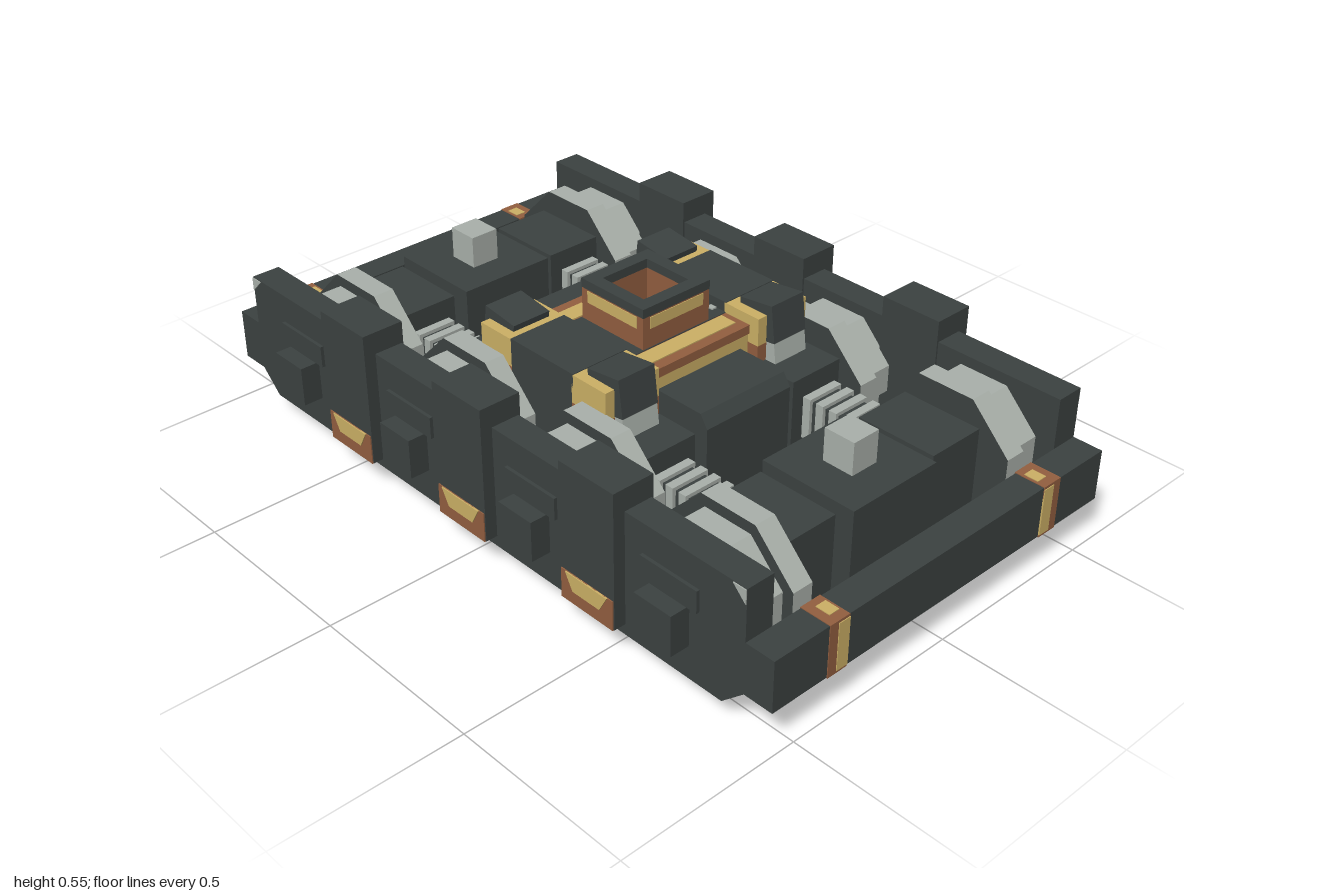
import * as THREE from 'three';

const mat = (name, color) => {
  const m = new THREE.MeshStandardMaterial({ color });
  m.name = name;
  return m;
};

export function createModel() {
  const root = new THREE.Group();
  root.name = 'railBogie';
  const dark = mat('darkIron', 0x3c4241);
  const steel = mat('paleSteel', 0xaab1ab);
  const gold = mat('brassGold', 0xcdb166);
  const brown = mat('copperBrown', 0x935f40);

  const add = (name, geo, material, parent = root) => {
    const m = new THREE.Mesh(geo, material);
    m.name = name;
    parent.add(m);
    return m;
  };
  // Box given by its min and max on each axis
  const box = (name, material, x0, x1, y0, y1, z0, z1, parent = root) => {
    const m = add(name, new THREE.BoxGeometry(Math.abs(x1 - x0), y1 - y0, Math.abs(z1 - z0)), material, parent);
    m.position.set((x0 + x1) / 2, (y0 + y1) / 2, (z0 + z1) / 2);
    return m;
  };
  // Outline in (z, y) extruded along x
  const plate = (name, material, pts, x0, x1) => {
    const shape = new THREE.Shape(pts.map(([z, y]) => new THREE.Vector2(-z, y)));
    const g = new THREE.ExtrudeGeometry(shape, { depth: x1 - x0, bevelEnabled: false });
    g.rotateY(Math.PI / 2);
    g.translate(x0, 0, 0);
    return add(name, g, material);
  };
  // Eight-sided drum lying along x, flat side up
  const drum = (name, materials, apothem, x0, x1, z) => {
    const g = new THREE.CylinderGeometry(apothem / Math.cos(Math.PI / 8), apothem / Math.cos(Math.PI / 8), x1 - x0, 8).toNonIndexed();
    g.rotateY(Math.PI / 8);
    g.rotateZ(Math.PI / 2);
    g.computeVertexNormals();
    const m = add(name, g, materials);
    m.position.set((x0 + x1) / 2, apothem, z);
    return m;
  };

  for (const s of [-1, 1]) {
    const span = (a, b) => (s > 0 ? [a, b] : [-b, -a]);

    // Side frame with cut lower corners and pale corner marks
    plate('sideFrame', dark, [[-0.915, 0.4], [-0.915, 0.12], [-0.85, 0.06], [0.85, 0.06], [0.915, 0.12], [0.915, 0.4]], ...span(0.49, 0.57));
    for (const e of [-1, 1]) {
      plate('cornerMark', steel, [[e * 0.914, 0.398], [e * 0.914, 0.36], [e * 0.876, 0.398]], ...span(0.568, 0.573));
    }

    // Brackets with painted feet
    for (const z of [-0.455, 0, 0.455]) {
      box('bracket', dark, s * 0.485, s * 0.603, 0.09, 0.46, z - 0.09, z + 0.09);
      box('bracketFoot', brown, s * 0.58, s * 0.606, 0.088, 0.17, z - 0.087, z + 0.087);
      plate('bracketFootShine', gold, [[z - 0.07, 0.17], [z - 0.045, 0.125], [z + 0.045, 0.125], [z + 0.07, 0.17]], ...span(0.604, 0.609));
    }

    for (const z of [-0.69, -0.23, 0.23, 0.69]) {
      // Axle box
      box('axleBox', dark, s * 0.55, s * 0.625, 0.15, 0.26, z - 0.058, z + 0.058);
      box('axleBoxCap', dark, s * 0.55, s * 0.579, 0.26, 0.32, z - 0.088, z + 0.088);
      // Wheel
      drum('wheelFlange', [steel, dark, dark], 0.2, ...span(0.34, 0.4), z);
      drum('wheelTread', [steel, dark, dark], 0.17, ...span(0.4, 0.49), z).position.y = 0.2;
    }

    for (const e of [-1, 1]) {
      // Gear cases
      box('outerGearCase', dark, s * 0.17, s * 0.345, 0.08, 0.33, e * 0.57, e * 0.8);
      box('innerGearCase', dark, s * 0.17, s * 0.345, 0.08, 0.33, e * 0.11, e * 0.355);
      // Ribbed coupling between the cases
      box('couplingCore', dark, s * 0.21, s * 0.305, 0.17, 0.27, e * 0.35, e * 0.575);
      for (let i = 0; i < 5; i++) {
        const z = e * (0.375 + i * 0.043);
        box('couplingRib', steel, s * 0.2, s * 0.315, 0.16, 0.28, z - 0.012, z + 0.012);
      }
      // Bolster end post, copper below and brass above
      box('postBase', brown, s * 0.17, s * 0.342, 0.32, 0.38, e * 0.11, e * 0.23);
      box('postTop', gold, s * 0.17, s * 0.342, 0.38, 0.458, e * 0.11, e * 0.23);
      // Tilted damper head
      const damper = new THREE.Group();
      damper.name = 'damper';
      damper.position.set(s * 0.257, 0.33, e * 0.21);
      damper.rotation.x = -e * 0.13;
      box('damperHead', dark, -0.057, 0.057, 0.05, 0.153, -0.055, 0.055, damper);
      box('damperRod', steel, -0.056, 0.056, -0.02, 0.05, -0.053, 0.053, damper);
      root.add(damper);
    }
    box('bolsterArm', dark, s * 0.17, s * 0.342, 0.1, 0.46, -0.115, 0.115);
  }

  // Axles
  for (const z of [-0.69, -0.23, 0.23, 0.69]) {
    drum('axle', dark, 0.04, -0.5, 0.5, z).position.y = 0.2;
  }

  for (const e of [-1, 1]) {
    // End beam with wrapped bands
    box('endBeam', dark, -0.57, 0.57, 0.12, 0.26, e * 0.915, e * 0.998);
    for (const s of [-1, 1]) {
      box('beamBand', brown, s * 0.34, s * 0.402, 0.118, 0.262, e * 0.913, e);
      box('beamBandShine', gold, s * 0.34, s * 0.375, 0.125, 0.255, e * 0.997, e * 1.002);
      box('beamBandTop', gold, s * 0.347, s * 0.378, 0.259, 0.264, e * 0.935, e * 0.975);
    }
    // Outer motor with pale breather
    box('outerMotor', dark, -0.143, 0.143, 0.06, 0.34, e * 0.55, e * 0.83);
    box('breather', steel, -0.042, 0.042, 0.34, 0.43, e * 0.645, e * 0.735);
    // Inner motor
    const top = 0.37;
    plate('innerMotor', dark, (e > 0 ? [[0.19, top], [0.19, 0.06], [0.368, 0.06], [0.368, 0.335], [0.345, top]]
      : [[-0.345, top], [-0.368, 0.335], [-0.368, 0.06], [-0.19, 0.06], [-0.19, top]]), -0.143, 0.143);
    // Bolster edging
    box('bolsterTrim', gold, -0.172, 0.172, 0.26, 0.41, e * 0.11, e * 0.195);
    box('bolsterTrimCap', brown, -0.172, 0.172, 0.405, 0.43, e * 0.11, e * 0.2);
    box('bolsterTrimShine', gold, -0.15, 0.15, 0.428, 0.433, e * 0.12, e * 0.17);
    for (const s of [-1, 1]) box('bolt', steel, s * 0.152, s * 0.167, 0.43, 0.436, e * 0.065, e * 0.085);
  }

  // Bolster
  box('bolster', dark, -0.172, 0.172, 0.1, 0.432, -0.115, 0.115);

  // Hollow pivot ring in stacked bands
  const ring = (material, y0, y1, out, inner) => {
    const square = (C, r) => new C([[-r, -r], [r, -r], [r, r], [-r, r]].map(([x, y]) => new THREE.Vector2(x, y)));
    const shape = square(THREE.Shape, out);
    shape.holes.push(square(THREE.Path, inner));
    const g = new THREE.ExtrudeGeometry(shape, { depth: y1 - y0, bevelEnabled: false });
    g.rotateX(-Math.PI / 2);
    g.translate(0, y0, 0);
    add('pivotRing', g, material);
  };
  ring(brown, 0.43, 0.52, 0.112, 0.075);
  ring(dark, 0.52, 0.545, 0.113, 0.075);
  for (let i = 0; i < 4; i++) {
    const shine = new THREE.BoxGeometry(0.18, 0.032, 0.004);
    shine.translate(0, 0.5, 0.112);
    shine.rotateY(i * Math.PI / 2);
    add('pivotRingShine', shine, gold);
  }
  return root;
}
